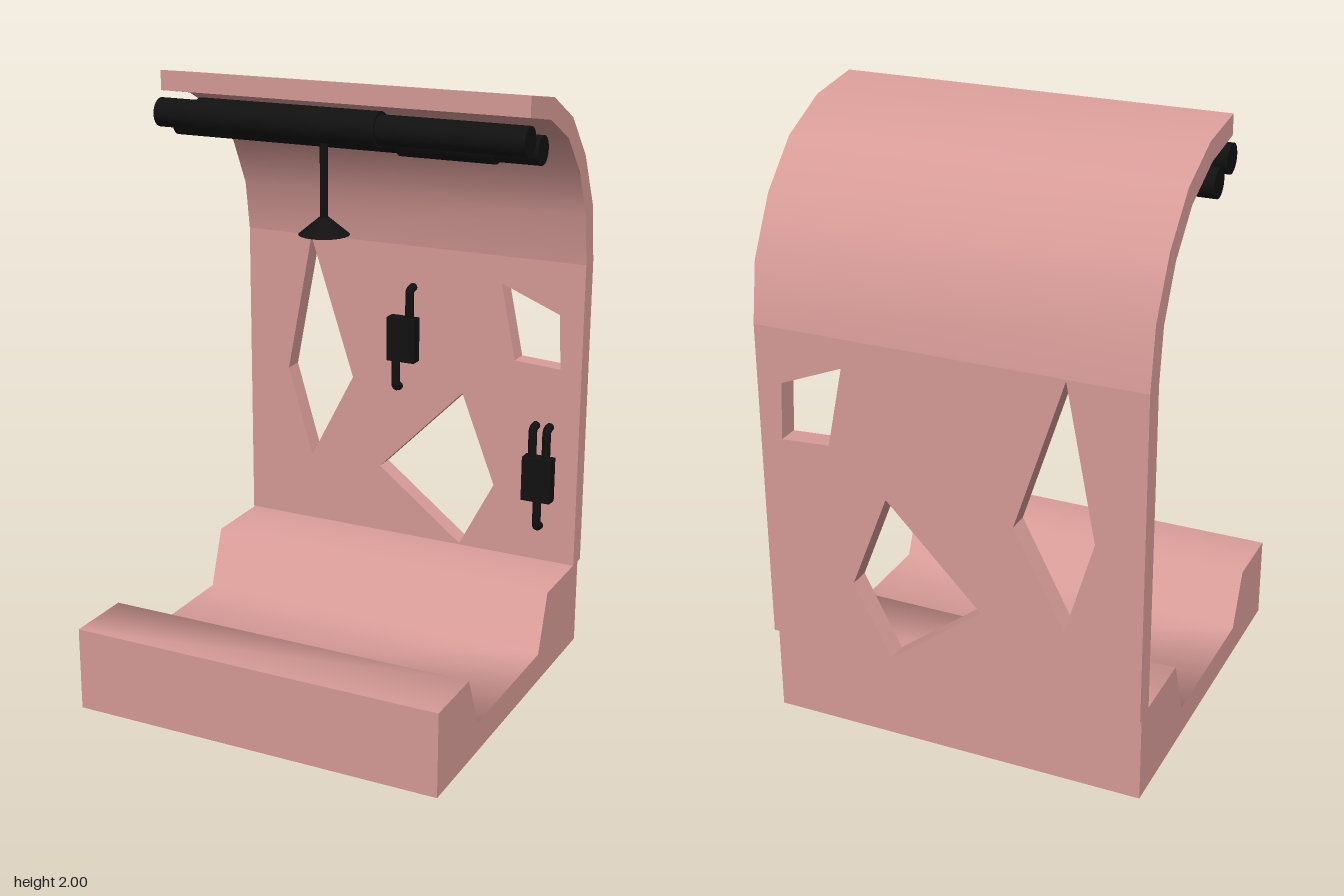
import * as THREE from 'three';
import { toCreasedNormals } from 'three/addons/utils/BufferGeometryUtils.js';

const pink = new THREE.MeshStandardMaterial({ color: 0xd89c98 });
const black = new THREE.MeshStandardMaterial({ color: 0x111111 });

const toShape = (pts) => new THREE.Shape(pts.map(([x, y]) => new THREE.Vector2(x, y)));

function addMesh(parent, name, geometry, material, x = 0, y = 0, z = 0) {
  const mesh = new THREE.Mesh(geometry, material);
  mesh.name = name;
  mesh.position.set(x, y, z);
  parent.add(mesh);
  return mesh;
}

// Sweeps a side profile of [z, y] points across the width
function sideExtrude(profile, width, crease) {
  const shape = toShape(profile.map(([z, y]) => [-z, y]));
  const geo = new THREE.ExtrudeGeometry(shape, { depth: width, bevelEnabled: false });
  geo.translate(0, 0, -width / 2);
  geo.rotateY(Math.PI / 2);
  return toCreasedNormals(geo, crease);
}

// Cylinder lying along x between two ends
function addBar(parent, name, x0, x1, y, z, r) {
  const geo = new THREE.CylinderGeometry(r, r, x1 - x0, 32).rotateZ(Math.PI / 2);
  addMesh(parent, name, geo, black, (x0 + x1) / 2, y, z);
}

// Wall switch: a box with thin pipes that bend back to the wall
function addFitting(parent, name, x, y, ups, downs) {
  const fitting = new THREE.Group();
  fitting.name = name;
  fitting.position.set(x, y, -0.505);
  parent.add(fitting);
  addMesh(fitting, 'fittingBody', new THREE.BoxGeometry(0.105, 0.157, 0.045), black);
  const pipe = (px, dir) => {
    const path = new THREE.CurvePath();
    const v = (py, pz) => new THREE.Vector3(px, dir * py, pz);
    path.add(new THREE.LineCurve3(v(0.05, 0), v(0.165, 0)));
    path.add(new THREE.QuadraticBezierCurve3(v(0.165, 0), v(0.182, 0), v(0.182, -0.03)));
    const mat = black.clone();
    mat.side = THREE.DoubleSide;
    addMesh(fitting, 'fittingPipe', new THREE.TubeGeometry(path, 24, 0.015, 12), mat);
    const cap = new THREE.CircleGeometry(0.015, 12).rotateY(Math.PI);
    addMesh(fitting, 'pipeEnd', cap, black, px, dir * 0.182, -0.03);
  };
  ups.forEach((px) => pipe(px, 1));
  downs.forEach((px) => pipe(px, -1));
}

export function createModel() {
  const model = new THREE.Group();
  model.name = 'shelter';

  // Base with a sunken trough
  const base = [
    [0.62, 0], [0.62, 0.28], [0.39, 0.28], [0.31, 0.1],
    [-0.22, 0.1], [-0.29, 0.297], [-0.59, 0.297], [-0.59, 0],
  ];
  addMesh(model, 'base', sideExtrude(base, 1.265, 1.3), pink, 0.002);

  // Back wall with angular windows
  const wall = toShape([[-0.635, 0.297], [0.635, 0.297], [0.635, 1.37], [-0.635, 1.37]]);
  const windows = [
    [[-0.385, 1.365], [-0.22, 0.865], [-0.385, 0.545], [-0.48, 0.865]],
    [[0.205, 0.865], [0.33, 0.545], [0.205, 0.302], [-0.11, 0.545]],
    [[0.34, 1.275], [0.55, 1.19], [0.56, 1.0], [0.395, 1.01]],
  ];
  for (const w of windows) wall.holes.push(new THREE.Path(toShape(w).getPoints()));
  const wallGeo = new THREE.ExtrudeGeometry(wall, { depth: 0.07, bevelEnabled: false });
  addMesh(model, 'backWall', wallGeo, pink, 0, 0, -0.615);

  // Curved canopy
  const canopy = [
    [-0.615, 1.37], [-0.585, 1.565], [-0.49, 1.745], [-0.355, 1.885], [-0.18, 1.97], [0.02, 2],
    [0.02, 1.935], [-0.155, 1.905], [-0.32, 1.825], [-0.44, 1.7], [-0.52, 1.54], [-0.545, 1.37],
  ];
  addMesh(model, 'canopy', sideExtrude(canopy, 1.27, 0.6), pink);

  // Two stepped bars under the canopy
  addBar(model, 'frontBar', -0.637, 0.637, 1.865, 0.02, 0.047);
  addBar(model, 'frontBarSleeve', -0.49, 0.15, 1.865, 0.02, 0.056);
  addBar(model, 'rearBar', -0.637, 0.637, 1.822, -0.092, 0.046);
  addBar(model, 'rearBarSleeve', 0.17, 0.49, 1.822, -0.092, 0.054);

  // Hanging lamp
  addMesh(model, 'lampRod', new THREE.CylinderGeometry(0.013, 0.013, 0.28, 16), black, -0.045, 1.69, 0.02);
  addMesh(model, 'lampShade', new THREE.CylinderGeometry(0.016, 0.082, 0.055, 32), black, -0.045, 1.547, 0.02);

  // Wall fittings
  addFitting(model, 'upperFitting', -0.007, 1.045, [0.024], [-0.026]);
  addFitting(model, 'lowerFitting', 0.508, 0.612, [-0.024, 0.026], [0]);

  return model;
}
